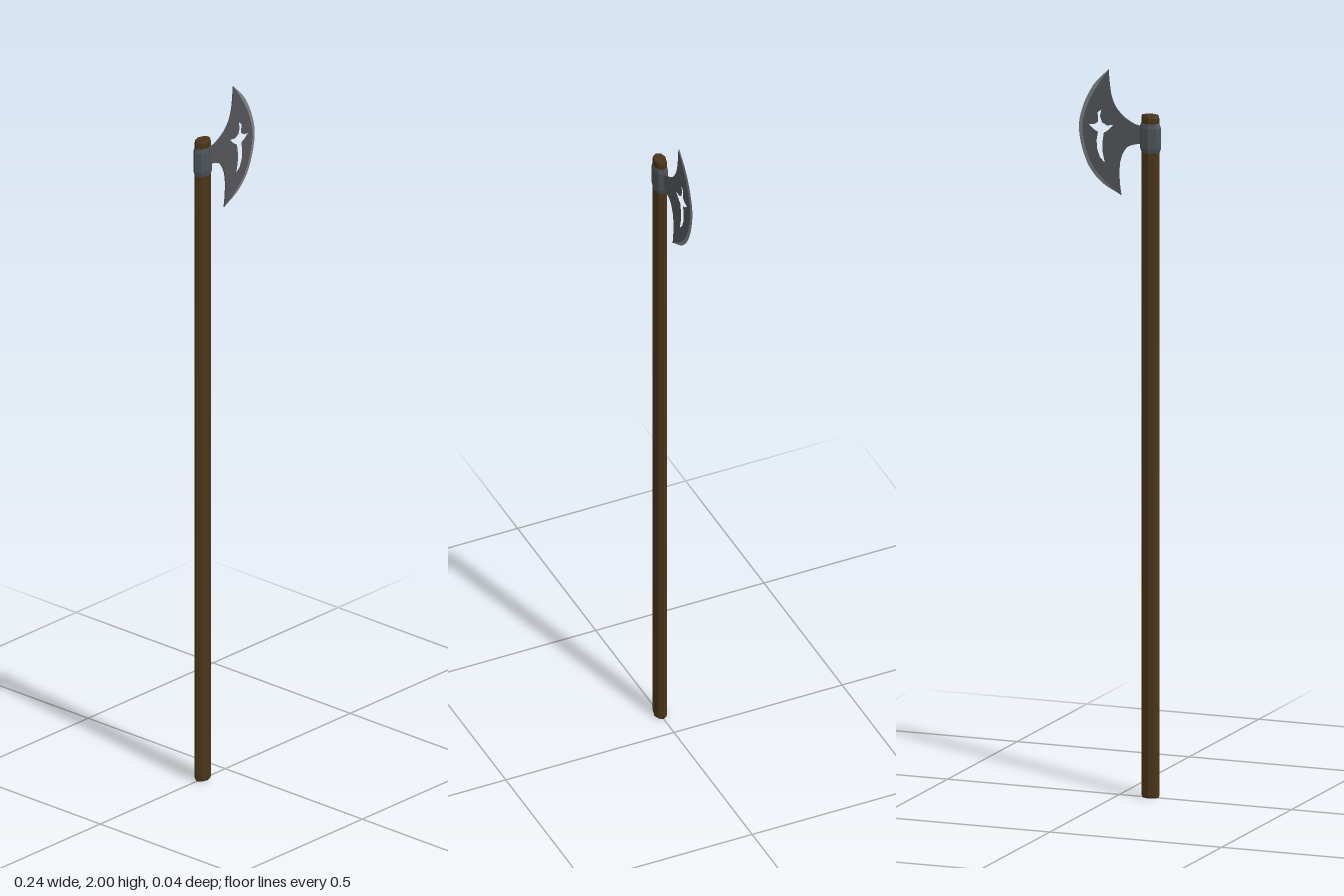
import * as THREE from 'three';

const SHAFT_X = -0.09;
const HALF = 0.0018; // half thickness of the blade

const mat = (color, extra = {}) => new THREE.MeshStandardMaterial({ color, flatShading: true, ...extra });
const vecs = (pts) => pts.map(([x, y]) => new THREE.Vector2(x, y));

// Eight-sided almond-shaped solid from [y, halfWidth, halfDepth] levels
function octagonLoft(levels) {
  const [bottom, top] = [levels[0], levels[levels.length - 1]];
  const n = levels.length - 1;
  const geo = new THREE.CylinderGeometry(1, 1, 1, 8, n);
  const p = geo.attributes.position;
  for (let i = 0; i < p.count; i++) {
    const k = Math.round((p.getY(i) + 0.5) * n);
    const [y, w, d] = k === 0 ? bottom : k === n ? top : levels[k];
    p.setXYZ(i, p.getX(i) * w, y, p.getZ(i) * d);
  }
  geo.computeVertexNormals();
  return geo;
}

// Wedge that narrows from the plate's rim to a sharp edge
function wedge(inner, outer) {
  const pos = [], idx = [];
  inner.forEach((a, i) => {
    const b = outer[i];
    pos.push(a.x, a.y, HALF, b.x, b.y, 0, a.x, a.y, -HALF);
    if (i === 0) return;
    const q = 3 * i, o = q - 3;
    // points run from the top tip down to the bottom tip
    idx.push(o, q, q + 1, o, q + 1, o + 1);
    idx.push(o + 1, q + 1, q + 2, o + 1, q + 2, o + 2);
  });
  const geo = new THREE.BufferGeometry();
  geo.setAttribute('position', new THREE.Float32BufferAttribute(pos, 3));
  geo.setIndex(idx);
  geo.computeVertexNormals();
  return geo;
}

export function createModel() {
  const model = new THREE.Group();
  const add = (name, geo, material, x = 0, z = 0) => {
    const mesh = new THREE.Mesh(geo, material);
    mesh.name = name;
    mesh.position.set(x, 0, z);
    model.add(mesh);
  };

  // Wooden shaft with slightly eased ends
  add('shaft', octagonLoft([
    [0, 0.024, 0.0165], [0.006, 0.026, 0.018], [1.878, 0.026, 0.018], [1.885, 0.024, 0.0165],
  ]), mat(0x4a3418), SHAFT_X);

  // Metal collar around the shaft
  add('collar', octagonLoft([
    [1.782, 0.0265, 0.0185], [1.795, 0.031, 0.0205], [1.85, 0.031, 0.0205], [1.863, 0.0265, 0.0185],
  ]), mat(0x4c5257), SHAFT_X);

  // Curved cutting edge, from top tip to bottom tip
  const edge = new THREE.SplineCurve(vecs([
    [0.032, 2.0], [0.072, 1.96], [0.104, 1.9], [0.118, 1.83], [0.097, 1.745], [0.055, 1.69], [-0.005, 1.657],
  ]));
  const steps = 28;
  const outer = edge.getPoints(steps);
  const inner = outer.map((p, i) => {
    const t = edge.getTangent(i / steps);
    const w = 0.011 * Math.min(1, 6 * Math.min(i, steps - i) / steps);
    return new THREE.Vector2(p.x + t.y * w, p.y - t.x * w);
  });

  // Blade plate: bevel rim, then the concave lower and upper backs and the neck
  const lowerBack = new THREE.SplineCurve(vecs([
    [-0.005, 1.657], [0.0, 1.7], [-0.002, 1.75], [-0.018, 1.786], [-0.042, 1.799], [-0.065, 1.803],
  ])).getPoints(16);
  const upperBack = new THREE.SplineCurve(vecs([
    [-0.065, 1.852], [-0.042, 1.857], [-0.01, 1.876], [0.014, 1.905], [0.026, 1.942], [0.032, 2.0],
  ])).getPoints(16);
  const plate = new THREE.Shape([...inner, ...lowerBack.slice(1), ...upperBack.slice(0, -1)]);

  // Dagger-shaped cutout
  plate.holes.push(new THREE.Path(vecs([
    [0.052, 1.888], [0.063, 1.88], [0.061, 1.854], [0.074, 1.846], [0.088, 1.845], [0.075, 1.833],
    [0.062, 1.826], [0.066, 1.803], [0.064, 1.778], [0.056, 1.757], [0.042, 1.742], [0.048, 1.77],
    [0.049, 1.797], [0.045, 1.825], [0.032, 1.833], [0.018, 1.848], [0.036, 1.846], [0.05, 1.853],
    [0.056, 1.87],
  ])));
  add('blade', new THREE.ExtrudeGeometry(plate, { depth: 2 * HALF, bevelEnabled: false }),
    mat(0x545559), 0, -HALF);

  add('cuttingEdge', wedge(inner, outer), mat(0x808186, { side: THREE.DoubleSide }));

  return model;
}
